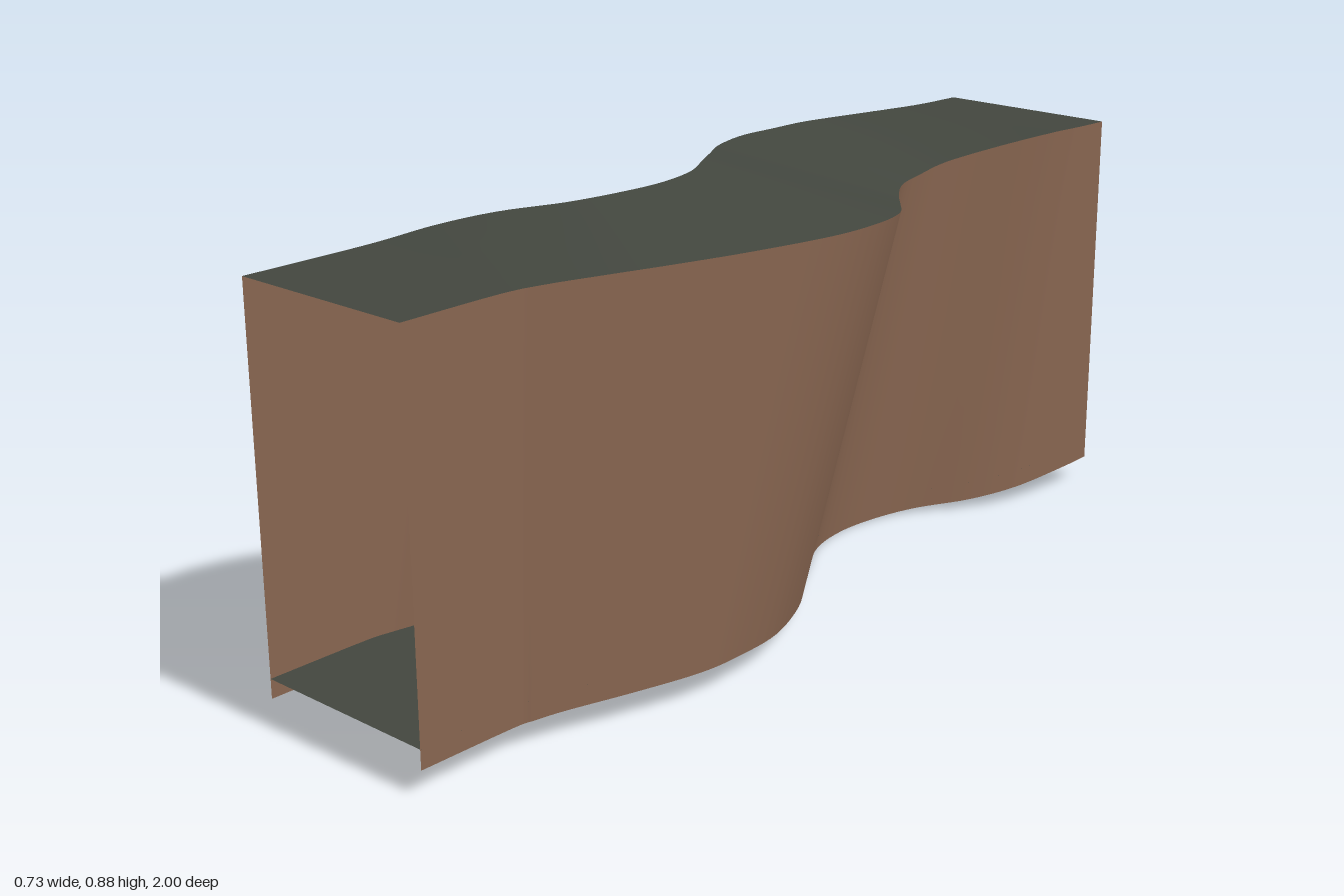
import * as THREE from 'three';

const SEGMENTS = 108;
const ROWS = 6;

// Upper edges of the winding corridor, rib by rib from front to back: x, y, z
const upperLeft = [
  [-0.2, 0.83, 1], [-0.2, 0.83, 0.73], [-0.17, 0.845, 0.6], [-0.115, 0.86, 0.5],
  [-0.04, 0.871, 0.4], [0, 0.878, 0.3], [0.01, 0.88, 0.2], [-0.01, 0.88, 0.1],
  [-0.07, 0.875, 0], [-0.14, 0.862, -0.1], [-0.225, 0.845, -0.22], [-0.295, 0.83, -0.37],
  [-0.316, 0.822, -0.5], [-0.31, 0.822, -0.6], [-0.275, 0.823, -0.73], [-0.23, 0.826, -0.86],
  [-0.213, 0.828, -0.92], [-0.203, 0.83, -0.965], [-0.2, 0.83, -1],
];
const upperRight = [
  [0.2, 0.83, 1], [0.2, 0.83, 0.79], [0.215, 0.83, 0.7], [0.25, 0.83, 0.59],
  [0.29, 0.83, 0.47], [0.335, 0.83, 0.32], [0.365, 0.826, 0.13], [0.35, 0.818, -0.02],
  [0.29, 0.8, -0.16], [0.2, 0.78, -0.28], [0.12, 0.765, -0.38], [0.06, 0.762, -0.47],
  [0.045, 0.767, -0.55], [0.055, 0.782, -0.63], [0.11, 0.805, -0.74], [0.17, 0.825, -0.85],
  [0.19, 0.829, -0.915], [0.198, 0.83, -0.965], [0.2, 0.83, -1],
];

// The lower edges mirror the upper ones through the corridor's centre point
function mirrorThroughCentre(edge) {
  const last = edge.length - 1;
  return edge.map((_, i) => {
    const [x, y, z] = edge[last - i];
    const mirroredZ = i === 0 ? 1 : i === last ? -1 : -0.17 - z;
    return [-x, 0.88 - y, mirroredZ];
  });
}

function makeRail(edge) {
  const curve = new THREE.CatmullRomCurve3(
    edge.map((p) => new THREE.Vector3(...p)), false, 'catmullrom', 0.5);
  return Array.from({ length: SEGMENTS + 1 }, (_, i) => curve.getPoint(i / SEGMENTS));
}

// Smooth sheet stretched between two rails
function makeSheet(name, railA, railB, material) {
  const positions = [];
  const indices = [];
  const p = new THREE.Vector3();
  for (let i = 0; i <= SEGMENTS; i++) {
    for (let j = 0; j <= ROWS; j++) {
      p.lerpVectors(railA[i], railB[i], j / ROWS);
      positions.push(p.x, p.y, p.z);
      if (i < SEGMENTS && j < ROWS) {
        const a = i * (ROWS + 1) + j;
        const b = a + ROWS + 1;
        indices.push(a, a + 1, b, a + 1, b + 1, b);
      }
    }
  }
  const geometry = new THREE.BufferGeometry();
  geometry.setAttribute('position', new THREE.Float32BufferAttribute(positions, 3));
  geometry.setIndex(indices);
  geometry.computeVertexNormals();
  const mesh = new THREE.Mesh(geometry, material);
  mesh.name = name;
  return mesh;
}

export function createModel() {
  const wallBrown = new THREE.MeshStandardMaterial({ color: 0x86644f, side: THREE.DoubleSide });
  wallBrown.name = 'wall brown';
  const darkSlate = new THREE.MeshStandardMaterial({ color: 0x42463e, side: THREE.DoubleSide });
  darkSlate.name = 'dark slate';

  const topLeft = makeRail(upperLeft);
  const topRight = makeRail(upperRight);
  const bottomLeft = makeRail(mirrorThroughCentre(upperRight));
  const bottomRight = makeRail(mirrorThroughCentre(upperLeft));

  // The floor sits a little above the lower edges of the walls
  const raise = (low, high) => low.map((p, i) => p.clone().lerp(high[i], 0.05));
  const floorLeft = raise(bottomLeft, topLeft);
  const floorRight = raise(bottomRight, topRight);

  const corridor = new THREE.Group();
  corridor.name = 'windingCorridor';
  corridor.add(
    makeSheet('ceiling', topLeft, topRight, darkSlate),
    makeSheet('floor', floorLeft, floorRight, darkSlate),
    makeSheet('rightWall', bottomLeft, topLeft, wallBrown),
    makeSheet('leftWall', topRight, bottomRight, wallBrown),
  );
  return corridor;
}
